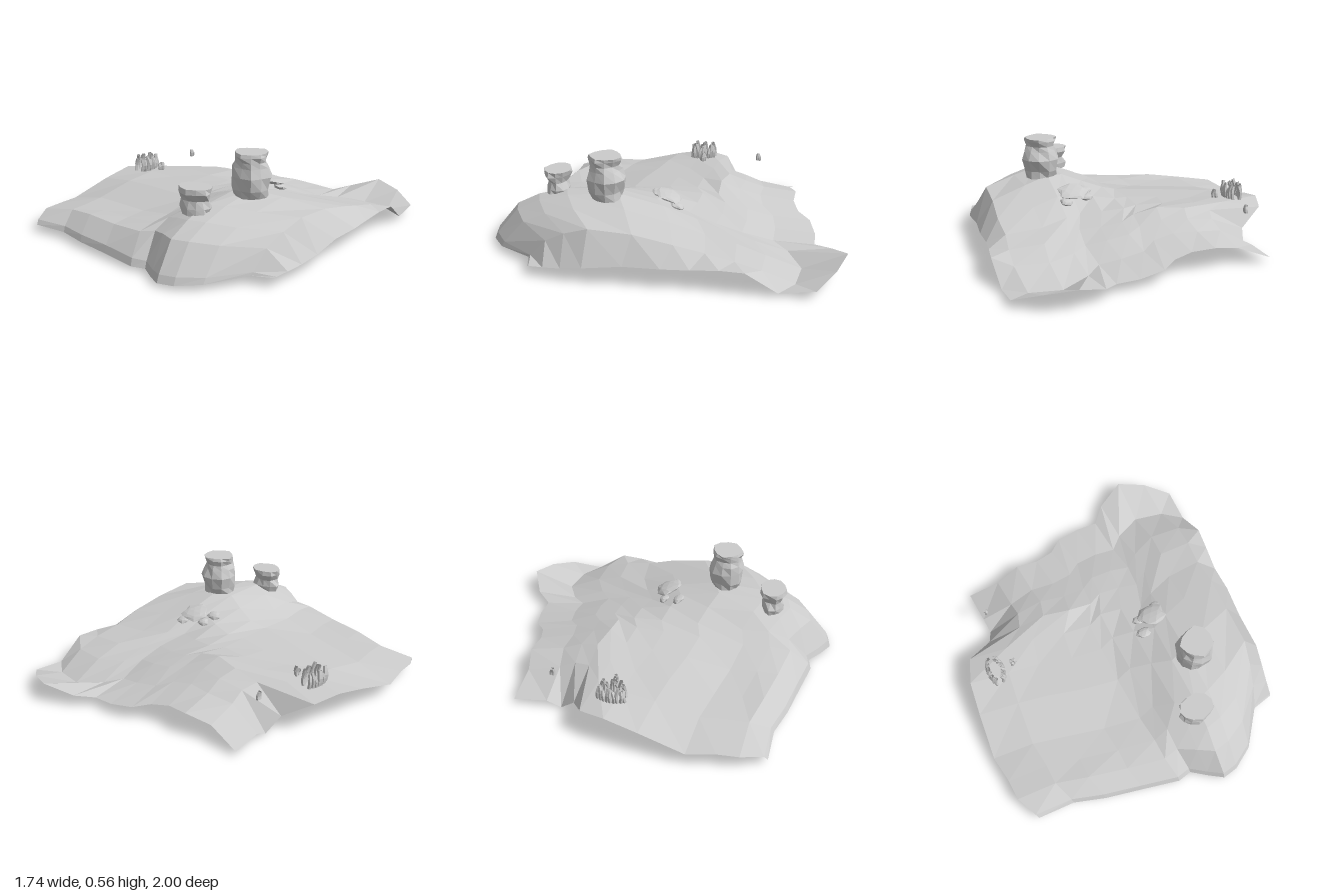
import * as THREE from 'three';

const material = new THREE.MeshStandardMaterial({ color: 0xcccccc, flatShading: true, side: THREE.DoubleSide });

// Outline of the ground as four edges of [x, z] pairs
const back = [[-.63, -.69], [-.44, -.67], [-.29, -.71], [-.16, -.70], [-.05, -.73], [.03, -.80],
  [.17, -.83], [.30, -.83], [.38, -.92], [.54, -1], [.70, -.94], [.84, -.84]];
const front = [[-.76, .78], [-.54, .78], [-.36, .83], [-.14, .87], [.08, .91], [.16, .89],
  [.25, .95], [.33, 1], [.42, .98], [.54, .90], [.68, .70], [.80, .67]];
const left = [[-.63, -.69], [-.61, -.50], [-.60, -.42], [-.63, -.33], [-.78, -.24], [-.83, -.09],
  [-.85, .10], [-.87, .36], [-.84, .52], [-.83, .64], [-.77, .76], [-.76, .78]];
const right = [[.84, -.84], [.85, -.65], [.87, -.48], [.86, -.35], [.85, -.20], [.86, -.05],
  [.85, .15], [.86, .36], [.84, .48], [.82, .58], [.805, .66], [.80, .67]];
const across = [0, .15, .26, .39, .50, .56, .62, .69, .75, .84, .92, 1];
const along = [0, .12, .21, .29, .37, .47, .60, .75, .84, .91, .985, 1];

// Ground heights, rows from back to front
const heights = [
  [.03, .10, .13, .12, .10, .08, .06, .05, .07, .12, .09, .04],
  [.04, .14, .16, .16, .14, .11, .09, .07, .05, .025, .02, .02],
  [0, .18, .20, .20, .18, .16, .14, .12, .11, .10, .10, .13],
  [.08, .20, .23, .24, .21, .19, .17, .16, .15, .15, .14, .13],
  [.17, .21, .22, .22, .22, .22, .21, .20, .20, .18, .17, .115],
  [.19, .20, .20, .21, .22, .23, .25, .27, .27, .24, .21, .115],
  [.15, .18, .19, .20, .21, .24, .28, .32, .33, .30, .25, .11],
  [.08, .13, .14, .15, .18, .22, .28, .31, .31, .29, .265, .09],
  [.09, .13, .14, .155, .18, .22, .25, .27, .27, .25, .22, .07],
  [.09, .13, .15, .15, .165, .18, .20, .205, .205, .19, .16, .06],
  [.065, .07, .07, .07, .06, .055, .05, .06, .06, .06, .06, .055],
  [.04, .04, .035, .03, .02, .02, .015, .02, .02, .03, .045, .05],
];

// Smoothly fills the space between the four edges
function patchPoint(r, c, axis) {
  const s = across[c], t = along[r];
  const n = across.length - 1;
  const corners = (1 - t) * ((1 - s) * back[0][axis] + s * back[n][axis])
    + t * ((1 - s) * front[0][axis] + s * front[n][axis]);
  return (1 - t) * back[c][axis] + t * front[c][axis]
    + (1 - s) * left[r][axis] + s * right[r][axis] - corners;
}

function buildGround() {
  const positions = [], index = [];
  const cols = across.length;
  for (let r = 0; r < along.length; r++) {
    for (let c = 0; c < cols; c++) {
      // The crest beside the steep right side sits a little further out
      const shift = c === cols - 2 ? .05 * Math.sin(Math.PI * along[r]) : 0;
      positions.push(patchPoint(r, c, 0) + shift, heights[r][c], patchPoint(r, c, 1));
      if (r && c) {
        const d = r * cols + c, b = d - cols;
        index.push(b - 1, d - 1, b, b, d - 1, d);
      }
    }
  }
  const geometry = new THREE.BufferGeometry();
  geometry.setAttribute('position', new THREE.Float32BufferAttribute(positions, 3));
  geometry.setIndex(index);
  geometry.computeVertexNormals();
  return geometry;
}

// Repeatable unevenness that depends only on the vertex position
function roughen(geometry, amount) {
  const p = geometry.attributes.position;
  for (let i = 0; i < p.count; i++) {
    const x = p.getX(i), y = p.getY(i), z = p.getZ(i);
    const k = 1 + amount * Math.sin(x * 61 + y * 47 + z * 83);
    p.setXYZ(i, x * k, y, z * k);
  }
  geometry.computeVertexNormals();
  return geometry;
}

function part(name, geometry, x = 0, y = 0, z = 0) {
  const mesh = new THREE.Mesh(geometry, material);
  mesh.name = name;
  mesh.position.set(x, y, z);
  return mesh;
}

// Waisted, flat-topped rock column from a [radius, height] profile
function rockColumn(name, profile, x, z, depth) {
  const points = profile.map(([r, y]) => new THREE.Vector2(r, y));
  const geometry = roughen(new THREE.LatheGeometry(points, 11), .09);
  geometry.scale(1, 1, depth);
  return part(name, geometry, x, 0, z);
}

// Curved row of small upright blades
function plantCluster(name, x, y, z, count, length, bulge, height) {
  const group = new THREE.Group();
  group.name = name;
  for (let i = 0; i < count; i++) {
    const f = i / (count - 1) * 2 - 1;
    const h = height * (.85 + .15 * Math.sin(i * 2.3));
    const curve = new THREE.CatmullRomCurve3([
      new THREE.Vector3(0, 0, 0),
      new THREE.Vector3(bulge * .3, h * .5, .006 * Math.sin(i * 3)),
      new THREE.Vector3(-bulge * .2, h, .01 * Math.cos(i * 2)),
    ]);
    group.add(part('blade', new THREE.TubeGeometry(curve, 4, .011, 5), bulge * (1 - f * f), 0, f * length / 2));
  }
  group.position.set(x, y, z);
  return group;
}

export function createModel() {
  const model = new THREE.Group();
  model.name = 'rockyIsland';
  model.add(part('ground', buildGround()));

  // Two rock columns on the rise
  model.add(rockColumn('tallRock', [[.09, .315], [.098, .36], [.113, .43], [.094, .48], [.086, .51],
    [.096, .54], [.094, .558], [0, .558]], .42, .32, .95));
  model.add(rockColumn('shortRock', [[.085, .275], [.09, .31], [.076, .35], [.1, .39],
    [.102, .418], [0, .418]], .285, .63, .75));

  // Thin flat stones behind the columns: x, y, z, radius x, radius z
  for (const [x, y, z, rx, rz] of [[.31, .3, -.02, .085, .075], [.225, .28, .06, .045, .035],
    [.23, .265, -.03, .035, .03], [.36, .26, -.07, .035, .04]]) {
    const stone = part('flatStone', roughen(new THREE.IcosahedronGeometry(1, 1), .12), x, y, z);
    stone.scale.set(rx, .016, rz);
    stone.rotation.x = -.35;
    model.add(stone);
  }

  // Plants near the low side
  model.add(plantCluster('outerPlant', -.685, .2, -.09, 9, .15, -.02, .095));
  model.add(plantCluster('innerPlant', -.645, .2, -.09, 9, .14, .022, .095));
  model.add(plantCluster('smallPlant', -.56, .21, -.1, 3, .02, .015, .05));
  model.add(plantCluster('edgePlant', -.585, .22, -.46, 2, .012, .01, .045));
  return model;
}
